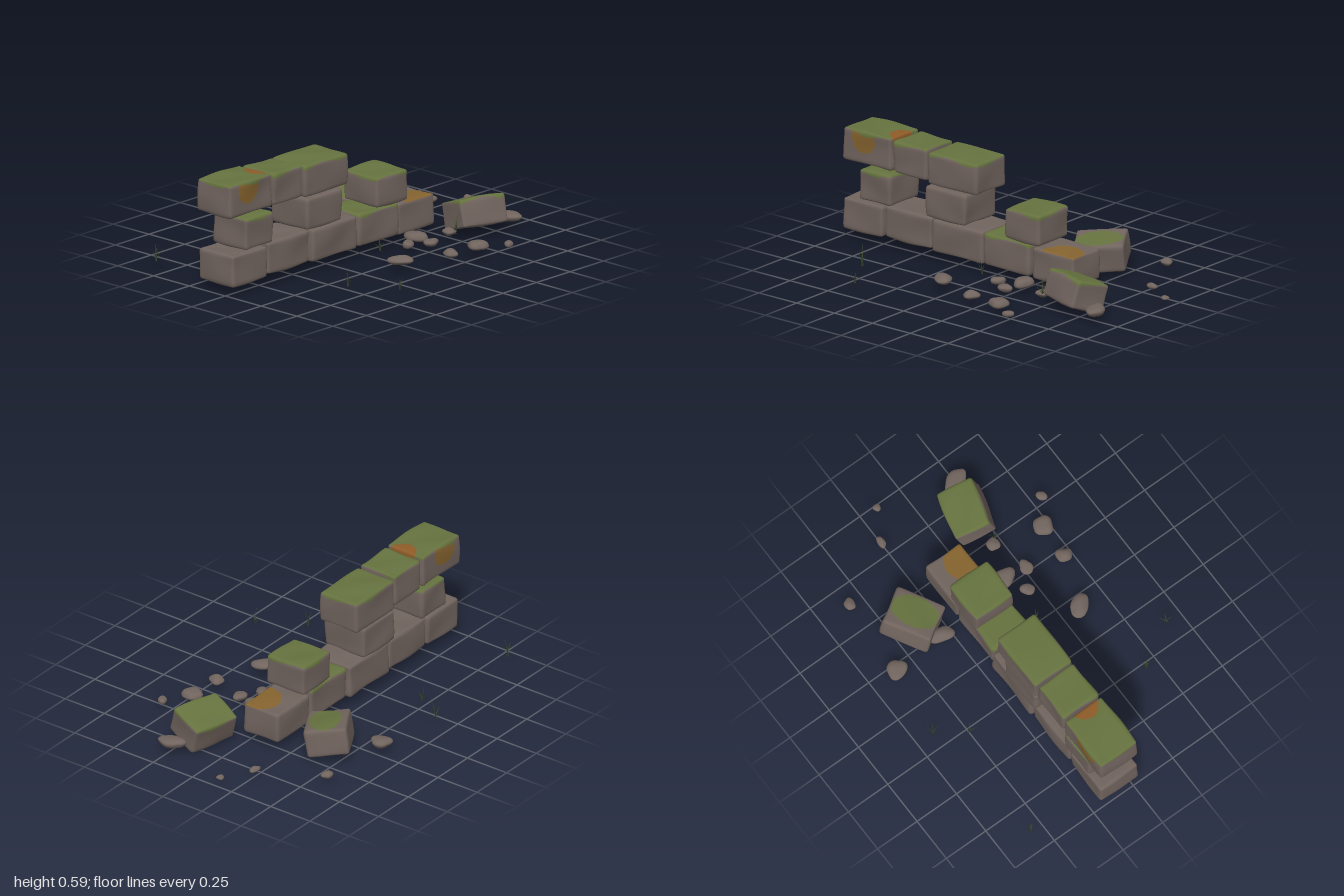
import * as THREE from 'three';
import { mergeVertices } from 'three/addons/utils/BufferGeometryUtils.js';

const mat = (name, color, side = THREE.FrontSide) => {
  const m = new THREE.MeshStandardMaterial({ color, side });
  m.name = name;
  return m;
};

// smooth bumps that depend only on position and seed
const bump = (x, y, z, s) =>
  Math.sin(x * 17 + s * 3.1 + 2 * Math.sin(y * 13 + s)) * 0.45 +
  Math.sin(y * 25 + z * 14 + s * 1.7) * 0.3 +
  Math.sin(z * 29 - x * 21 + s * 5.3) * 0.25;

export function createModel() {
  const root = new THREE.Group();
  root.name = 'ruinedWall';
  const stone = mat('stone', 0x71645e);
  const moss = mat('moss', 0x66733f);
  const ochre = mat('ochreLichen', 0x86642f);
  const rust = mat('rustLichen', 0x8f5c28);
  const grass = mat('grass', 0x39452a, THREE.DoubleSide);
  const blockMats = [stone, moss, ochre, rust];

  // weathered block: rounded, bumpy box whose faces are sorted into colours by paint(p, half)
  function block(name, size, pos, seed, paint, rot = [0, 0, 0]) {
    const half = size.map((v) => v / 2);
    const seg = size.map((v) => Math.round(v / 0.0125));
    let geo = new THREE.BoxGeometry(...size, ...seg);
    geo.deleteAttribute('normal');
    geo.deleteAttribute('uv');
    geo.clearGroups();
    geo = mergeVertices(geo, 1e-5);
    const P = geo.attributes.position;
    const index = geo.index.array;

    // sort triangles by colour, using the clean box shape
    const lists = [[], [], [], []];
    for (let i = 0; i < index.length; i += 3) {
      const c = new THREE.Vector3();
      for (let k = 0; k < 3; k++) c.add(new THREE.Vector3().fromBufferAttribute(P, index[i + k]));
      c.divideScalar(3);
      lists[paint(c, half, seed)].push(index[i], index[i + 1], index[i + 2]);
    }
    geo.setIndex(lists.flat());
    let start = 0;
    lists.forEach((l, m) => {
      if (l.length) geo.addGroup(start, l.length, m);
      start += l.length;
    });

    // round the edges and roughen the faces
    const r = 0.018;
    const p = new THREE.Vector3(), inner = new THREE.Vector3(), d = new THREE.Vector3();
    const lim = new THREE.Vector3(half[0] - r, half[1] - r, half[2] - r);
    for (let i = 0; i < P.count; i++) {
      p.fromBufferAttribute(P, i);
      inner.copy(p).clamp(lim.clone().negate(), lim);
      d.copy(p).sub(inner).normalize();
      const push = r - 0.003 + 0.0065 * bump(p.x, p.y, p.z, seed);
      p.copy(inner).addScaledVector(d, push);
      P.setXYZ(i, p.x, p.y, p.z);
    }
    geo.computeVertexNormals();
    const mesh = new THREE.Mesh(geo, blockMats);
    mesh.name = name;
    mesh.position.set(...pos);
    mesh.rotation.set(...rot);
    root.add(mesh);
  }

  // paint rules: 0 stone, 1 moss, 2 ochre, 3 rust
  const bare = () => 0;
  const mossy = (c, h, s) => (c.y > h[1] - 0.013 - 0.011 * Math.sin(c.x * 24 + c.z * 19 + s * 2) ? 1 : 0);
  const cornerPaint = (c, h, s) => {
    if (Math.hypot(c.x - 0.165, c.y - h[1], c.z - 0.015) < 0.075) return 3;
    if (mossy(c, h, s)) return 1;
    return Math.abs(c.z) > h[2] - 0.03 && Math.hypot(c.x + 0.02, c.y - 0.045) < 0.075 ? 2 : 0;
  };
  const lichenTop = (c, h) => (c.y > h[1] - 0.008 && Math.hypot(c.x - 0.04, c.z - 0.08) < 0.115 ? 2 : 0);
  const mossPatch = (c, h) => (c.y > h[1] - 0.012 && Math.hypot(c.x / 0.13, (c.z - 0.01) / 0.085) < 1 ? 1 : 0);

  // wall courses: x0, x1, y0, y1, z0, z1, paint
  const courses = {
    bottomBlock: [
      [-0.99, -0.725, 0.055, 0.228, -0.2, 0.045, bare],
      [-0.72, -0.405, 0.062, 0.237, -0.2, 0.04, bare],
      [-0.4, -0.062, 0.057, 0.237, -0.205, 0.05, bare],
      [-0.056, 0.247, 0.06, 0.238, -0.19, 0.05, mossy],
      [0.252, 0.53, 0.05, 0.222, -0.19, 0.035, lichenTop],
    ],
    middleBlock: [
      [-0.887, -0.677, 0.23, 0.4, -0.2, 0.04, mossy],
      [-0.442, -0.173, 0.235, 0.41, -0.21, 0.05, bare],
      [0.077, 0.317, 0.235, 0.402, -0.195, 0.05, mossy],
    ],
    topBlock: [
      [-1, -0.678, 0.423, 0.602, -0.205, 0.035, cornerPaint],
      [-0.67, -0.447, 0.418, 0.592, -0.2, 0.03, mossy],
      [-0.442, -0.11, 0.408, 0.583, -0.21, 0.035, mossy],
    ],
  };
  let seed = 1;
  for (const [name, list] of Object.entries(courses)) {
    list.forEach(([x0, x1, y0, y1, z0, z1, paint], i) =>
      block(name + (i + 1), [x1 - x0, y1 - y0, z1 - z0],
        [(x0 + x1) / 2, (y0 + y1) / 2, (z0 + z1) / 2], seed++, paint));
  }

  // fallen blocks, tipped into the ground
  block('fallenFrontBlock', [0.28, 0.155, 0.21], [0.665, 0.118, 0.18], 14, mossy, [-0.33, -0.25, -0.1]);
  block('fallenBackBlock', [0.275, 0.155, 0.225], [0.362, 0.115, -0.39], 17, mossPatch, [0.17, 0.55, 0]);

  // rubble: x, z, half width, half depth, half height, yaw
  const pebbles = [
    [0.205, -0.605, 0.05, 0.055, 0.025, 0.3], [0.635, -0.585, 0.033, 0.028, 0.02, 0],
    [0.81, -0.255, 0.034, 0.02, 0.016, 0], [0.975, -0.16, 0.021, 0.02, 0.011, 0],
    [0.28, 0.13, 0.048, 0.066, 0.025, 0.2], [0.16, 0.19, 0.031, 0.04, 0.02, -0.5],
    [0.26, 0.255, 0.042, 0.032, 0.02, 0], [0.46, 0.195, 0.035, 0.036, 0.02, 0],
    [-0.07, 0.35, 0.045, 0.065, 0.025, 0.5], [0.2, 0.45, 0.037, 0.045, 0.022, -0.4],
    [0.39, 0.46, 0.052, 0.052, 0.024, 0.4], [0.525, 0.55, 0.031, 0.025, 0.015, 0.2],
    [0.85, 0.245, 0.045, 0.07, 0.026, 0.3], [0.22, -0.31, 0.04, 0.07, 0.03, -0.2],
  ];
  pebbles.forEach(([x, z, w, d, h, yaw], i) => {
    let geo = new THREE.IcosahedronGeometry(1, 5);
    geo.deleteAttribute('normal');
    geo.deleteAttribute('uv');
    geo = mergeVertices(geo, 1e-4);
    const P = geo.attributes.position;
    for (let k = 0; k < P.count; k++) {
      const [a, b, c] = [P.getX(k), P.getY(k), P.getZ(k)];
      const f = 1 + 0.13 * Math.sin(a * 2.6 + i * 2) * Math.cos(c * 2.9 + i) + 0.05 * Math.sin(b * 4 + i);
      P.setXYZ(k, a * f * w, b * f * h, c * f * d);
    }
    geo.computeVertexNormals();
    const pebble = new THREE.Mesh(geo, stone);
    pebble.name = 'pebble' + (i + 1);
    pebble.position.set(x, 0.047 + h * 0.75, z);
    pebble.rotation.y = yaw;
    root.add(pebble);
  });

  // curved tapering grass blade
  function blade(height, lean) {
    const geo = new THREE.PlaneGeometry(0.009, height, 1, 4);
    const P = geo.attributes.position;
    for (let k = 0; k < P.count; k++) {
      const t = P.getY(k) / height + 0.5;
      P.setXYZ(k, P.getX(k) * (1 - 0.92 * t), t * height, lean * t * t);
    }
    geo.computeVertexNormals();
    return new THREE.Mesh(geo, grass);
  }

  // grass tufts: x, z, height
  const tufts = [
    [-0.9, -0.575, 0.1], [-0.18, -0.66, 0.115], [-0.28, -0.5, 0.07], [-0.54, 0.425, 0.11],
    [-0.4, 0.655, 0.075], [0.01, 0.135, 0.085], [0.48, 0.22, 0.11],
  ];
  tufts.forEach(([x, z, h], i) => {
    const tuft = new THREE.Group();
    tuft.name = 'grassTuft' + (i + 1);
    for (let k = 0; k < 5; k++) {
      const b = blade(h * (1 - 0.13 * k), 0.022 + 0.004 * k);
      b.name = 'grassBlade' + (k + 1);
      b.rotation.y = k * 2.4 + i * 1.3;
      tuft.add(b);
    }
    tuft.position.set(x, 0.05, z);
    root.add(tuft);
  });

  return root;
}
